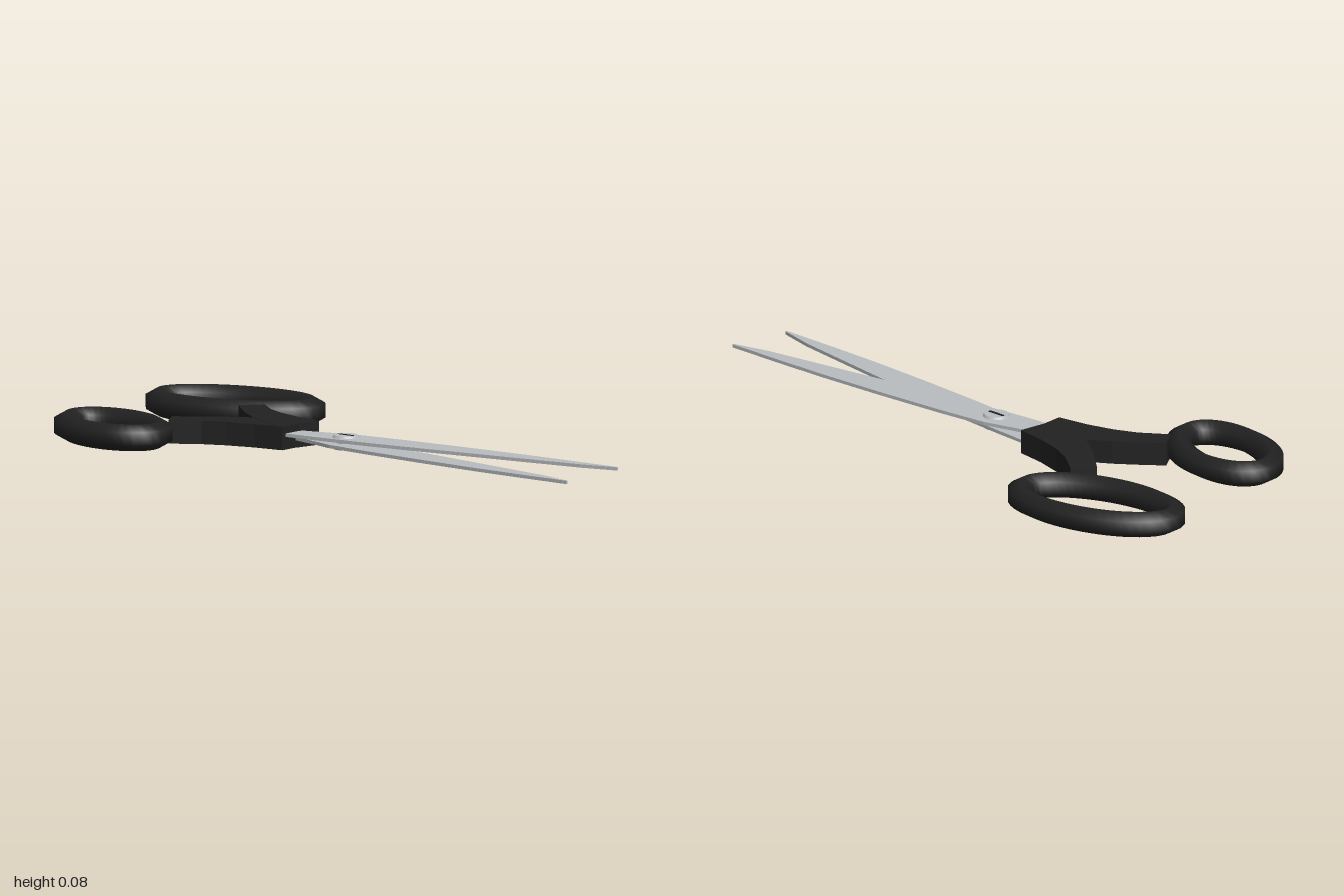
import * as THREE from 'three';

const steel = new THREE.MeshStandardMaterial({ color: 0xb9bdc0 });
steel.name = 'steel';
const black = new THREE.MeshStandardMaterial({ color: 0x222222 });
black.name = 'black plastic';

const AXIS = 0.02; // z of the line the two halves mirror about

function add(group, name, geometry, material) {
  const mesh = new THREE.Mesh(geometry, material);
  mesh.name = name;
  group.add(mesh);
  return mesh;
}

// Flat plate from an outline drawn in x and z, between two heights
function plate(outline, y0, y1) {
  const shape = new THREE.Shape(outline.map(([x, z]) => new THREE.Vector2(x, -z)));
  const geometry = new THREE.ExtrudeGeometry(shape, { depth: y1 - y0, bevelEnabled: false });
  return geometry.rotateX(-Math.PI / 2).translate(0, y0, 0);
}

const mirrored = (outline) => outline.map(([x, z]) => [x, 2 * AXIS - z]);

// Oval finger loop with a six-sided section, tilted in plan
function fingerLoop(cx, cz, a, b, tilt) {
  const points = [];
  for (let i = 0; i < 32; i++) {
    const t = (i / 32) * Math.PI * 2;
    const u = a * Math.cos(t), v = b * Math.sin(t);
    points.push(new THREE.Vector3(
      cx + u * Math.cos(tilt) - v * Math.sin(tilt), 0.04,
      cz - u * Math.sin(tilt) - v * Math.cos(tilt)));
  }
  return new THREE.TubeGeometry(new THREE.CatmullRomCurve3(points, true), 48, 0.04, 6, true);
}

export function createModel() {
  const group = new THREE.Group();
  group.name = 'scissors';

  // Blades: one outline, mirrored for the lower blade
  const blade = [
    [1, -0.093], [0.8, -0.092], [0.62, -0.088], [0.4, -0.077], [0.16, -0.06], [0, -0.043],
    [-0.1, -0.015], [-0.2, 0.01], [-0.2, 0.086], [-0.05, 0.074], [0.14, 0.055],
    [0.38, 0.02], [0.65, -0.022], [0.88, -0.058], [1, -0.088],
  ];
  add(group, 'upperBlade', plate(blade, 0.043, 0.053), steel);
  add(group, 'lowerBlade', plate(mirrored(blade), 0.027, 0.037), steel);

  // Handle arms: curved bars meeting around the blade roots
  const arm = [
    [-0.51, -0.19], [-0.43, -0.132], [-0.36, -0.1], [-0.27, -0.075], [-0.172, -0.06],
    [-0.18, 0.02], [-0.195, 0.1], [-0.28, 0.062], [-0.36, 0.022], [-0.43, -0.023],
    [-0.49, -0.07], [-0.555, -0.125],
  ];
  add(group, 'backArm', plate(arm, 0.004, 0.076), black);
  add(group, 'frontArm', plate(mirrored(arm), 0.005, 0.075), black);

  // Finger loops
  add(group, 'largeLoop', fingerLoop(-0.715, -0.287, 0.255, 0.13, 0.24), black);
  add(group, 'smallLoop', fingerLoop(-0.67, 0.297, 0.195, 0.116, -0.29), black);

  // Pivot screw: shank, a head on each side and a slot
  const screw = new THREE.Group();
  screw.name = 'pivotScrew';
  screw.position.set(0.01, 0, AXIS);
  group.add(screw);
  add(screw, 'screwShank', new THREE.CylinderGeometry(0.025, 0.025, 0.036, 20), steel).position.y = 0.04;
  add(screw, 'screwHead', new THREE.CylinderGeometry(0.036, 0.04, 0.007, 24), steel).position.y = 0.0575;
  add(screw, 'screwBase', new THREE.CylinderGeometry(0.04, 0.036, 0.007, 24), steel).position.y = 0.0225;
  add(screw, 'screwSlot', new THREE.BoxGeometry(0.06, 0.002, 0.01), black).position.y = 0.061;

  return group;
}
